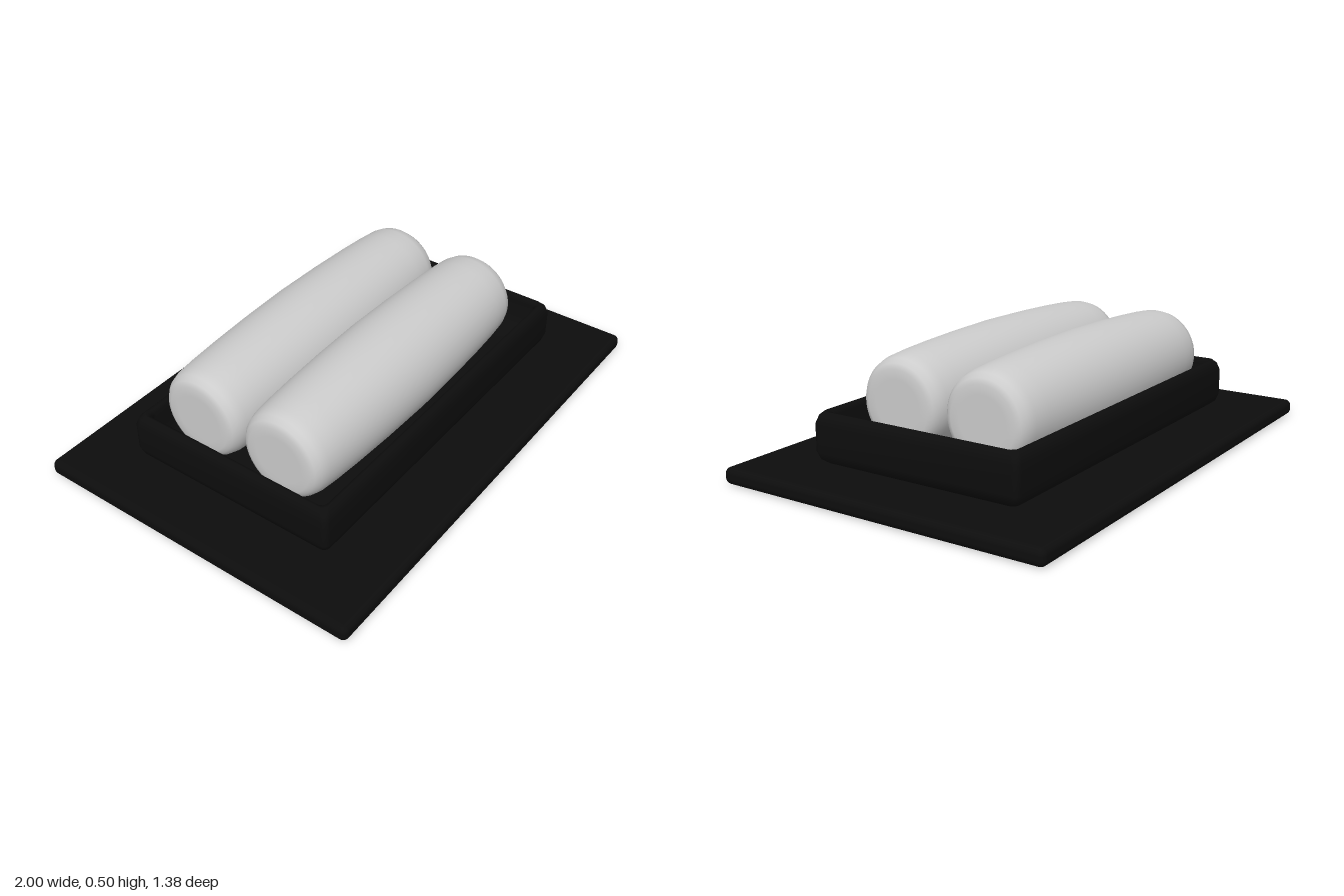
import * as THREE from 'three';
import { RoundedBoxGeometry } from 'three/addons/geometries/RoundedBoxGeometry.js';

// Skin over rounded-rectangle rings, each given as [inset, height], closed by a flat floor
function loftTray(halfX, halfZ, rings, corner = 0.025, steps = 4) {
  const positions = [], indices = [];
  const count = 4 * (steps + 1);
  for (const [inset, y] of rings) {
    for (let q = 0; q < 4; q++) {
      const sx = q === 0 || q === 3 ? 1 : -1;
      const sz = q < 2 ? 1 : -1;
      for (let j = 0; j <= steps; j++) {
        const a = (q + j / steps) * Math.PI / 2;
        positions.push(
          sx * (halfX - inset - corner) + corner * Math.cos(a),
          y,
          sz * (halfZ - inset - corner) + corner * Math.sin(a));
      }
    }
  }
  for (let k = 0; k < rings.length - 1; k++) {
    for (let j = 0; j < count; j++) {
      const a = k * count + j, b = k * count + (j + 1) % count;
      const c = a + count, d = b + count;
      indices.push(a, c, b, b, c, d);
    }
  }
  const last = (rings.length - 1) * count, centre = positions.length / 3;
  positions.push(0, rings[rings.length - 1][1], 0);
  for (let j = 0; j < count; j++) indices.push(last + j, centre, last + (j + 1) % count);
  const geometry = new THREE.BufferGeometry();
  geometry.setAttribute('position', new THREE.Float32BufferAttribute(positions, 3));
  geometry.setIndex(indices);
  geometry.computeVertexNormals();
  return geometry;
}

export function createModel() {
  const black = new THREE.MeshStandardMaterial({ color: 0x0d0d0d });
  black.name = 'black';
  const paleGrey = new THREE.MeshStandardMaterial({ color: 0xcccccc });
  paleGrey.name = 'paleGrey';

  const model = new THREE.Group();
  const add = (name, geometry, material, x, y, z) => {
    const mesh = new THREE.Mesh(geometry, material);
    mesh.name = name;
    mesh.position.set(x, y, z);
    model.add(mesh);
    return mesh;
  };

  // Flat base plate with softened edges
  add('basePlate', new RoundedBoxGeometry(2, 0.065, 1.38, 3, 0.025), black, 0, 0.0325, 0);

  // Hollow tray: outer wall, rounded rim, inner wall and floor
  const trayRings = [
    [0.035, 0.06], [0.01, 0.08], [0, 0.11], [0, 0.215], [0.01, 0.245], [0.025, 0.26],
    [0.037, 0.257], [0.045, 0.24], [0.05, 0.17], [0.07, 0.12], [0.12, 0.1], [0.16, 0.1],
  ];
  add('tray', loftTray(0.78, 0.448, trayRings), black, 0, 0, 0);

  // Two gently bulging rolls lying side by side
  const half = [[0, 0.66], [0.1, 0.66], [0.135, 0.659], [0.155, 0.65], [0.171, 0.63],
    [0.181, 0.595], [0.188, 0.52], [0.195, 0.4], [0.202, 0.22]];
  const profile = [
    ...half.map(([r, y]) => new THREE.Vector2(r, -y)),
    new THREE.Vector2(0.206, 0),
    ...half.map(([r, y]) => new THREE.Vector2(r, y)).reverse(),
  ];
  const rollGeometry = new THREE.LatheGeometry(profile, 48);
  rollGeometry.rotateZ(-Math.PI / 2);
  add('frontRoll', rollGeometry, paleGrey, -0.02, 0.291, 0.165);
  add('backRoll', rollGeometry, paleGrey, -0.02, 0.291, -0.207);

  return model;
}
